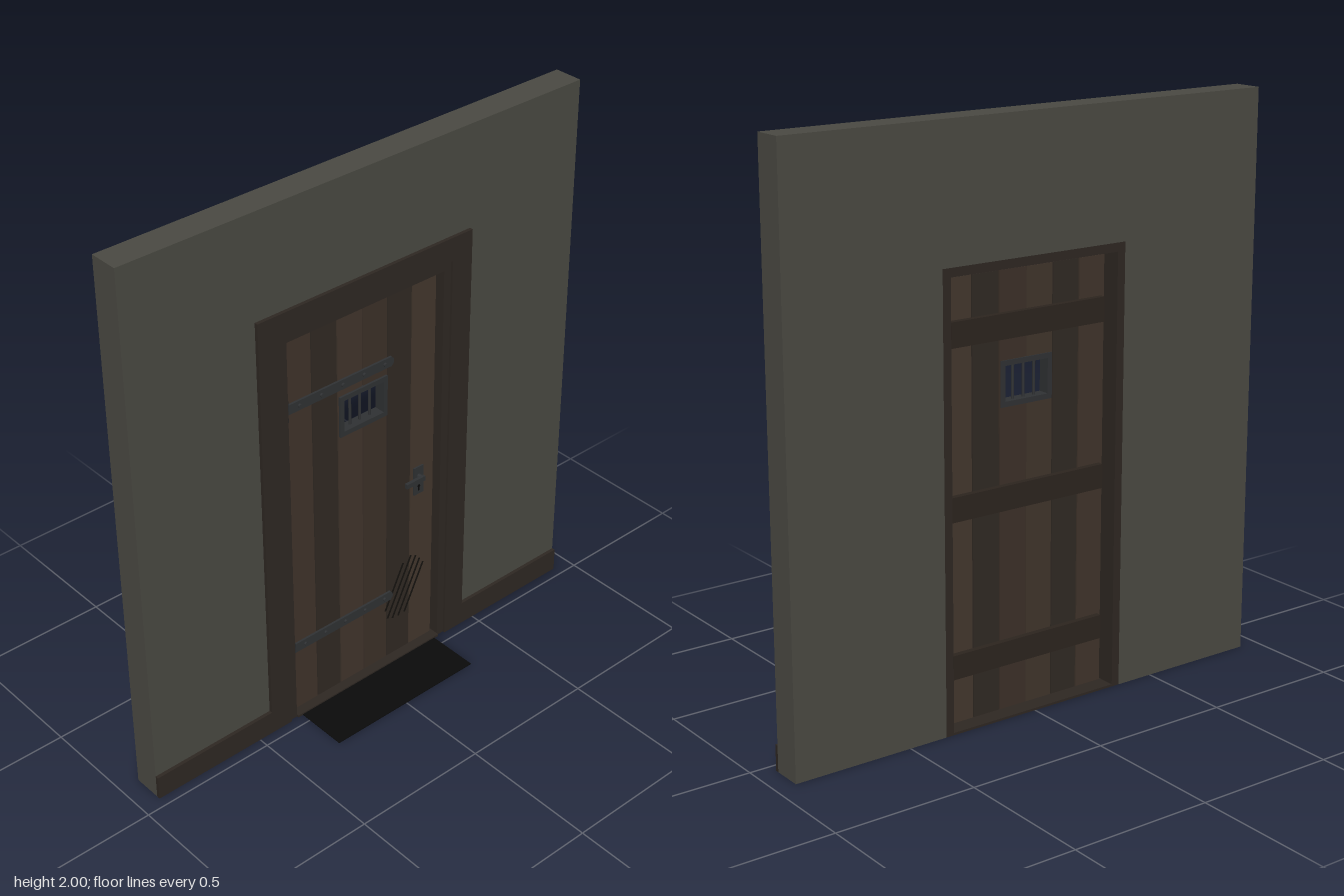
import * as THREE from 'three';

const mat = (color) => new THREE.MeshStandardMaterial({ color });
const stone = mat(0x4a4942);
const trim = mat(0x2e2722);
const ledgeWood = mat(0x2c241e);
const planksWood = [0x3f332a, 0x302923, 0x40342b, 0x3c3028, 0x302923, 0x43372d].map(mat);
const iron = mat(0x2f3133);
const dark = mat(0x15120f);
const black = mat(0x0a0a0a);

// Box given by its limits on each axis
function box(parent, name, material, x0, x1, y0, y1, z0, z1) {
  const mesh = new THREE.Mesh(new THREE.BoxGeometry(x1 - x0, y1 - y0, z1 - z0), material);
  mesh.position.set((x0 + x1) / 2, (y0 + y1) / 2, (z0 + z1) / 2);
  mesh.name = name;
  parent.add(mesh);
  return mesh;
}

// Cylinder centred on a point, along y or turned along z
function rod(parent, name, material, r, length, x, y, z, alongZ = false) {
  const mesh = new THREE.Mesh(new THREE.CylinderGeometry(r, r, length, 12), material);
  if (alongZ) mesh.rotation.x = Math.PI / 2;
  mesh.position.set(x, y, z);
  mesh.name = name;
  parent.add(mesh);
  return mesh;
}

// Upside-down U outline around a doorway, extruded from z0 to z1
function portal(parent, name, material, outerX, outerY, innerX, innerY, z0, z1) {
  const points = [
    [-outerX, 0], [-innerX, 0], [-innerX, innerY], [innerX, innerY],
    [innerX, 0], [outerX, 0], [outerX, outerY], [-outerX, outerY],
  ].map(([x, y]) => new THREE.Vector2(x, y));
  const geometry = new THREE.ExtrudeGeometry(new THREE.Shape(points), { depth: z1 - z0, bevelEnabled: false });
  const mesh = new THREE.Mesh(geometry, material);
  mesh.position.z = z0;
  mesh.name = name;
  parent.add(mesh);
}

function group(parent, name) {
  const g = new THREE.Group();
  g.name = name;
  parent.add(g);
  return g;
}

export function createModel() {
  const model = new THREE.Group();
  model.name = 'cellDoorWall';
  const back = -0.155, wallFront = -0.05, trimFront = -0.037;
  const doorBack = -0.1, doorFront = -0.07;

  // Wall, doorway trim and skirting
  portal(model, 'wall', stone, 0.927, 2, 0.36, 1.545, back, wallFront);
  portal(model, 'casing', trim, 0.445, 1.63, 0.36, 1.545, wallFront, trimFront);
  portal(model, 'jamb', trim, 0.36, 1.545, 0.33, 1.515, back, -0.045);
  for (const s of [-1, 1]) {
    box(model, 'skirting', trim, Math.min(s * 0.445, s * 0.927), Math.max(s * 0.445, s * 0.927), 0, 0.09, wallFront, trimFront);
  }
  box(model, 'threshold', trim, -0.33, 0.33, 0, 0.008, back, trimFront);
  box(model, 'mat', black, -0.31, 0.31, 0, 0.003, trimFront, 0.155);

  // Planks, the middle pair cut out for the window
  const door = group(model, 'door');
  const width = 0.64 / 6, gap = 0.002;
  const win = { x: 0.092, y0: 1.06, y1: 1.195 };
  planksWood.forEach((wood, i) => {
    const x0 = -0.32 + i * width + gap, x1 = x0 + width - 2 * gap;
    if (i !== 2 && i !== 3) {
      box(door, 'plank', wood, x0, x1, 0.012, 1.5, doorBack, doorFront);
      return;
    }
    box(door, 'plank', wood, x0, x1, 0.012, win.y0, doorBack, doorFront);
    box(door, 'plank', wood, x0, x1, win.y1, 1.5, doorBack, doorFront);
    if (i === 2) box(door, 'plank', wood, x0, -win.x, win.y0, win.y1, doorBack, doorFront);
    else box(door, 'plank', wood, win.x, x1, win.y0, win.y1, doorBack, doorFront);
  });

  // Ledges across the back
  for (const y of [0.215, 0.752, 1.322]) {
    box(door, 'ledge', ledgeWood, -0.305, 0.305, y - 0.042, y + 0.042, doorBack - 0.02, doorBack);
  }

  // Barred window
  const grille = group(door, 'grille');
  const g0 = doorBack - 0.004, g1 = doorFront + 0.008;
  for (const s of [-1, 1]) {
    box(grille, 'grilleSide', iron, s * 0.0935 - 0.0085, s * 0.0935 + 0.0085, 1.052, 1.206, g0, g1);
    const y = 1.129 + s * 0.068;
    box(grille, 'grilleRail', iron, -0.085, 0.085, y - 0.009, y + 0.009, g0, g1);
  }
  for (const x of [-0.0425, 0, 0.0425]) {
    rod(grille, 'grilleBar', iron, 0.005, 0.12, x, 1.129, (doorBack + doorFront) / 2);
  }

  // Strap hinges with studs and knuckles
  for (const y of [0.284, 1.253]) {
    const hinge = group(door, 'hinge');
    box(hinge, 'strap', iron, -0.325, 0.12, y - 0.018, y + 0.018, doorFront, doorFront + 0.008);
    rod(hinge, 'strapTip', iron, 0.018, 0.008, 0.112, y, doorFront + 0.004, true);
    rod(hinge, 'knuckle', iron, 0.009, 0.085, -0.325, y, doorFront + 0.006);
    for (let i = 0; i < 5; i++) {
      rod(hinge, 'stud', iron, 0.007, 0.008, -0.27 + i * 0.09, y, doorFront + 0.011, true);
    }
  }

  // Lever handle with plate and keyhole
  const handle = group(door, 'handle');
  box(handle, 'plate', iron, 0.227, 0.27, 0.662, 0.774, doorFront, doorFront + 0.006);
  rod(handle, 'spindle', iron, 0.01, 0.028, 0.248, 0.736, doorFront + 0.016, true);
  box(handle, 'lever', iron, 0.173, 0.256, 0.727, 0.745, doorFront + 0.018, doorFront + 0.03);
  rod(handle, 'keyholeTop', black, 0.006, 0.002, 0.248, 0.695, doorFront + 0.0065, true);
  box(handle, 'keyholeSlot', black, 0.245, 0.251, 0.677, 0.694, doorFront + 0.006, doorFront + 0.0075);

  // Slanted scratches near the foot of the door
  const scratches = group(door, 'scratches');
  for (let i = 0; i < 5; i++) {
    const length = [0.19, 0.25, 0.25, 0.23, 0.2][i];
    const mark = box(scratches, 'scratch', dark, -0.0035, 0.0035, -length / 2, length / 2, 0, 0.002);
    mark.position.set(0.142 + i * 0.023, 0.305 - i * 0.011, doorFront + 0.001);
    mark.rotation.z = -0.45;
  }
  return model;
}
